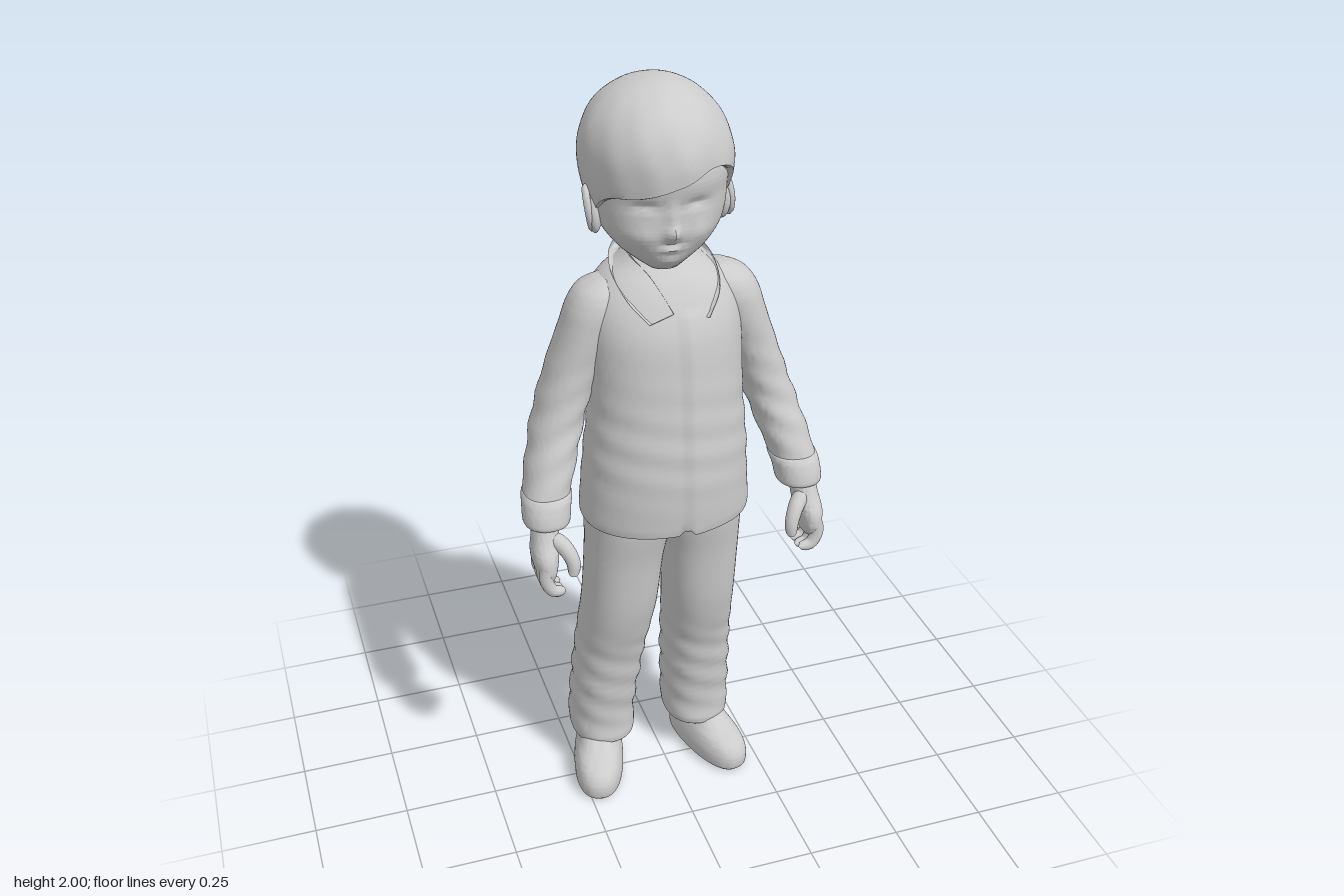
import * as THREE from 'three';
import { toCreasedNormals } from 'three/addons/utils/BufferGeometryUtils.js';

const material = new THREE.MeshStandardMaterial({ color: 0xcccccc, roughness: 0.8 });

function add(parent, name, geo) {
  const mesh = new THREE.Mesh(geo, material);
  mesh.name = name;
  parent.add(mesh);
  return mesh;
}

// Surface closed around u; fn(u, j) gives the point of row j at turn u (0..1)
function grid(fn, seg, rows, crease = 0.9) {
  const pos = [], idx = [];
  for (let j = 0; j < rows; j++) for (let i = 0; i < seg; i++) pos.push(...fn(i / seg, j));
  for (let j = 0; j < rows - 1; j++) for (let i = 0; i < seg; i++) {
    const a = j * seg + i, b = j * seg + (i + 1) % seg;
    idx.push(a, b, b + seg, a, b + seg, a + seg);
  }
  const geo = new THREE.BufferGeometry();
  geo.setAttribute('position', new THREE.Float32BufferAttribute(pos, 3));
  geo.setIndex(idx);
  return toCreasedNormals(geo, crease);
}

const spow = (v, e) => Math.sign(v) * Math.abs(v) ** e;
const gauss = (d, s) => Math.exp(-((d / s) ** 2));

// Capped loft through horizontal sections [y, xMin, xMax, zBack, zFront]
function loft(sections, { n = 2.2, seg = 48, sub = 6, warp = null } = {}) {
  const spline = new THREE.CubicInterpolant(sections.map((_, i) => i), sections.flat(), 5);
  const count = (sections.length - 1) * sub + 1;
  const rows = Array.from({ length: count }, (_, i) => [...spline.evaluate(i / sub)]);
  return grid((u, j) => {
    const [y, x0, x1, z0, z1] = rows[Math.min(Math.max(j - 1, 0), count - 1)];
    const k = j === 0 || j === count + 1 ? 0 : 0.5;
    const a = u * Math.PI * 2;
    const p = [
      (x0 + x1) / 2 + (x1 - x0) * k * spow(Math.sin(a), 2 / n), y,
      (z0 + z1) / 2 + (z1 - z0) * k * spow(Math.cos(a), 2 / n)];
    if (warp && k) warp(p, a);
    return p;
  }, seg, count + 2);
}

// Tapered tube with rounded ends
function digit(points, r0, r1) {
  const curve = new THREE.CatmullRomCurve3(points.map(p => new THREE.Vector3(...p)));
  const steps = 20, sides = 12;
  const geo = new THREE.TubeGeometry(curve, steps, 1, sides);
  const pos = geo.attributes.position, v = new THREE.Vector3();
  for (let i = 0; i < pos.count; i++) {
    const t = Math.floor(i / (sides + 1)) / steps, c = curve.getPointAt(t);
    const r = (r0 + (r1 - r0) * t) * Math.sqrt(Math.max(0, 1 - Math.abs(2 * t - 1) ** 6));
    v.fromBufferAttribute(pos, i).sub(c).multiplyScalar(r).add(c);
    pos.setXYZ(i, v.x, v.y, v.z);
  }
  return geo;
}

function ball(parent, name, p, s) {
  const mesh = add(parent, name, new THREE.SphereGeometry(1, 28, 20));
  mesh.position.set(...p);
  mesh.scale.set(...s);
  return mesh;
}

// Soft cloth folds, strongest near height y0
const folds = (y0, amp) => (p, a) => {
  const f = amp * gauss(p[1] - y0, 0.14) * Math.sin(p[1] * 75 + 2 * Math.sin(a) + a);
  p[0] += f * Math.sin(a);
  p[2] += f * Math.cos(a);
};

function buildHead() {
  const head = new THREE.Group();
  head.name = 'head';
  const fx = -0.03;
  // Facial relief: x, y, depth, width, height
  const relief = [
    [fx, 1.675, 0.024, 0.017, 0.018], [fx, 1.71, 0.009, 0.013, 0.03],
    [fx, 1.633, 0.008, 0.026, 0.007], [fx, 1.645, -0.005, 0.03, 0.005], [fx, 1.597, 0.008, 0.03, 0.016]];
  for (const s of [-1, 1]) relief.push(
    [fx + s * 0.06, 1.735, -0.014, 0.032, 0.016], [fx + s * 0.06, 1.727, 0.008, 0.024, 0.009],
    [fx + s * 0.07, 1.665, 0.008, 0.035, 0.03]);
  add(head, 'face', loft([
    [1.565, -0.06, 0.015, 0.02, 0.095], [1.59, -0.095, 0.045, -0.04, 0.122], [1.62, -0.13, 0.085, -0.08, 0.14],
    [1.66, -0.16, 0.12, -0.11, 0.15], [1.7, -0.175, 0.138, -0.14, 0.153], [1.75, -0.183, 0.145, -0.165, 0.157],
    [1.8, -0.183, 0.145, -0.175, 0.163], [1.87, -0.16, 0.12, -0.15, 0.145], [1.93, -0.1, 0.06, -0.08, 0.08],
  ], { n: 2.15, seg: 112, sub: 9, warp: p => {
    if (p[2] > 0.04) for (const [x, y, d, w, h] of relief) p[2] += d * gauss(p[0] - x, w) * gauss(p[1] - y, h);
  } }));

  // Hair cap whose lower rim follows fringe, sideburns and nape (every 30 degrees from the front)
  const rim = [1.8, 1.83, 1.79, 1.68, 1.64, 1.62, 1.62, 1.62, 1.64, 1.68, 1.755, 1.772, 1.8];
  const edge = new THREE.CubicInterpolant(rim.map((_, i) => i), rim, 1);
  const rows = 34;
  add(head, 'hair', grid((u, j) => {
    const a = u * Math.PI * 2, low = edge.evaluate(u * 12)[0];
    const drop = (low - 1.82) / (low < 1.82 ? 0.25 : 0.18);
    const t = Math.max(0, j - 2) / (rows - 3);
    const phi = Math.acos(drop) * (1 - t);
    const c = Math.cos(phi);
    const tuck = [0.8, 0.95, 1][Math.min(j, 2)];
    const wave = 1 + 0.009 * Math.sin(phi) * (Math.sin(a * 7 + phi * 5) + 0.6 * Math.sin(a * 13 - phi * 4));
    const r = Math.sin(phi) * tuck * wave;
    return [-0.02 + 0.18 * r * Math.sin(a) - 0.012 * Math.sin(phi) * Math.max(0, c),
      1.82 + c * (c < 0 ? 0.25 : 0.18) + (j === 1 ? -0.004 : 0), -0.003 + 0.202 * r * Math.cos(a)];
  }, 96, rows, 1));

  for (const s of [-1, 1]) {
    const ear = ball(head, 'ear', [-0.02 + s * 0.155, 1.7, 0.012], [0.018, 0.055, 0.034]);
    ear.rotation.set(-0.15, s * 0.3, 0);
    const earRim = add(head, 'earRim', new THREE.TorusGeometry(0.036, 0.009, 10, 28));
    earRim.position.set(-0.02 + s * 0.167, 1.705, 0.01);
    earRim.rotation.set(-0.15, Math.PI / 2 + s * 0.3, 0, 'YXZ');
    earRim.scale.set(0.75, 1.3, 1);
  }
  add(head, 'neck', loft([
    [1.44, -0.09, 0.07, -0.1, 0.085], [1.54, -0.085, 0.065, -0.095, 0.07],
    [1.6, -0.085, 0.065, -0.09, 0.06], [1.66, -0.09, 0.07, -0.09, 0.06]]));
  return head;
}

function buildJacket() {
  const jacket = new THREE.Group();
  jacket.name = 'jacket';
  add(jacket, 'jacketBody', loft([
    [0.878, -0.22, 0.2, -0.145, 0.19], [0.89, -0.23, 0.21, -0.152, 0.197], [1.0, -0.222, 0.203, -0.15, 0.202],
    [1.1, -0.213, 0.197, -0.138, 0.197], [1.2, -0.203, 0.188, -0.13, 0.187], [1.3, -0.203, 0.187, -0.14, 0.177],
    [1.4, -0.205, 0.185, -0.15, 0.163], [1.47, -0.195, 0.175, -0.145, 0.135], [1.52, -0.16, 0.14, -0.132, 0.105],
    [1.555, -0.112, 0.092, -0.112, 0.072], [1.58, -0.085, 0.065, -0.09, 0.045],
  ], { seg: 120, warp: (p, a) => {
    folds(1.12, 0.002)(p, a);
    // Overlapping front opening with a small notch at the hem
    if (p[2] > 0.08 && p[1] < 1.47) {
      const x = p[0] + 0.002;
      if (x > 0) p[2] += 0.007 * gauss(x, 0.06);
      if (p[1] < 0.9) p[1] += 0.025 * gauss(x, 0.009);
    }
  } }));

  // Turned-down collar: elliptical section between an upper and a lower edge
  const half = (pts) => new THREE.CatmullRomCurve3([...pts, ...pts.slice(0, -1).reverse().map(([x, y, z]) => [-x, y, z])]
    .map(p => new THREE.Vector3(p[0] - 0.01, p[1], p[2])));
  const upper = half([[0.012, 1.468, 0.14], [0.05, 1.54, 0.085], [0.083, 1.583, 0], [0.06, 1.6, -0.075], [0, 1.605, -0.098]]);
  const lower = half([[0.075, 1.45, 0.147], [0.115, 1.497, 0.1], [0.125, 1.543, 0], [0.088, 1.555, -0.092], [0, 1.56, -0.126]]);
  const steps = 60;
  add(jacket, 'collar', grid((u, j) => {
    const t = Math.min(Math.max(j - 1, 0), steps) / steps, a = u * Math.PI * 2;
    const top = upper.getPoint(t), low = lower.getPoint(t);
    const out = new THREE.Vector3(top.x + low.x + 0.02, 0.12, top.z + low.z).normalize();
    const k = j === 0 || j === steps + 2 ? 0 : 1;
    return low.clone().add(top).multiplyScalar(0.5)
      .addScaledVector(low.sub(top), 0.5 * k * Math.cos(a))
      .addScaledVector(out, 0.014 * k * Math.sin(a)).toArray();
  }, 20, steps + 3, 1.1));
  return jacket;
}

// One arm on the +x side, mirrored for the other by negating x and the winding
function buildArm() {
  const arm = new THREE.Group();
  add(arm, 'sleeve', loft([
    [0.955, 0.288, 0.39, 0.035, 0.145], [1.0, 0.267, 0.385, -0.005, 0.128], [1.08, 0.24, 0.365, -0.045, 0.105],
    [1.18, 0.207, 0.335, -0.085, 0.078], [1.3, 0.165, 0.295, -0.095, 0.07], [1.4, 0.12, 0.26, -0.092, 0.076],
    [1.46, 0.085, 0.24, -0.088, 0.076], [1.5, 0.08, 0.213, -0.075, 0.06], [1.523, 0.1, 0.17, -0.045, 0.025],
  ], { warp: folds(1.15, 0.003) }));
  add(arm, 'cuff', loft([
    [0.928, 0.285, 0.386, 0.035, 0.146], [0.935, 0.277, 0.394, 0.028, 0.154],
    [0.97, 0.271, 0.393, 0.015, 0.147], [0.998, 0.264, 0.388, -0.006, 0.134], [1.004, 0.275, 0.376, 0.005, 0.12],
  ], { sub: 4 }));
  const hand = new THREE.Group();
  hand.name = 'hand';
  arm.add(hand);
  add(hand, 'palm', loft([
    [0.795, 0.333, 0.368, 0.075, 0.175], [0.82, 0.325, 0.38, 0.066, 0.188], [0.86, 0.318, 0.386, 0.065, 0.183],
    [0.9, 0.312, 0.38, 0.065, 0.158], [0.95, 0.308, 0.372, 0.06, 0.135]]));
  // Fingers curling inward, longest in the middle
  [0, 0.008, 0.006, -0.006].forEach((len, i) => {
    const z = 0.17 - i * 0.028;
    add(hand, 'finger', digit([[0.358, 0.845, z], [0.36, 0.8, z + 0.003], [0.345, 0.772 - len, z + 0.004],
      [0.312, 0.765 - len, z + 0.002]], 0.02, 0.014));
  });
  add(hand, 'thumb', digit([[0.335, 0.905, 0.13], [0.305, 0.878, 0.158], [0.29, 0.84, 0.172], [0.292, 0.8, 0.172]], 0.024, 0.015));
  return arm;
}

function mirrored(group) {
  group.traverse(o => {
    if (!o.isMesh) return;
    const g = o.geometry.index ? o.geometry.toNonIndexed() : o.geometry;
    g.scale(-1, 1, 1);
    for (const { array: a } of [g.attributes.position, g.attributes.normal]) {
      for (let i = 0; i < a.length; i += 9) for (let k = 0; k < 3; k++) [a[i + 3 + k], a[i + 6 + k]] = [a[i + 6 + k], a[i + 3 + k]];
    }
    o.geometry = g;
  });
  return group;
}

function buildLeg(name, xs, footX, toeOut) {
  const leg = new THREE.Group();
  leg.name = name;
  const heights = [0.105, 0.115, 0.2, 0.4, 0.5, 0.6, 0.75, 0.85, 0.93];
  const depth = [[-0.175, 0.012], [-0.187, 0.024], [-0.188, 0.022], [-0.167, 0.05], [-0.148, 0.077],
    [-0.125, 0.1], [-0.108, 0.118], [-0.118, 0.135], [-0.12, 0.14]];
  add(leg, 'trouserLeg', loft(heights.map((y, i) => [y, ...xs[i], ...depth[i]]), { n: 2.3, sub: 10, warp: folds(0.3, 0.004) }));
  const shoe = add(leg, 'shoe', loft([
    [0, -0.06, 0.06, -0.147, 0.15], [0.012, -0.068, 0.068, -0.155, 0.158], [0.045, -0.069, 0.069, -0.153, 0.157],
    [0.075, -0.062, 0.062, -0.147, 0.135], [0.1, -0.053, 0.053, -0.137, 0.075], [0.14, -0.046, 0.046, -0.125, 0.01],
  ], { n: 2.4 }));
  shoe.position.set(footX, 0, -0.024);
  shoe.rotation.y = toeOut;
  return leg;
}

export function createModel() {
  const model = new THREE.Group();
  model.name = 'standingChild';
  model.add(buildHead(), buildJacket());
  const leftArm = buildArm(), rightArm = mirrored(buildArm());
  leftArm.name = 'leftArm';
  rightArm.name = 'rightArm';
  rightArm.position.x = -0.004;
  model.add(leftArm, rightArm);
  model.add(buildLeg('leftLeg', [[0.035, 0.195], [0.025, 0.205], [0.022, 0.207], [0.015, 0.2], [0.01, 0.195],
    [0.003, 0.193], [-0.008, 0.195], [-0.03, 0.197], [-0.04, 0.197]], 0.138, 0.27));
  model.add(buildLeg('rightLeg', [[-0.243, -0.085], [-0.252, -0.075], [-0.25, -0.073], [-0.235, -0.05], [-0.228, -0.037],
    [-0.222, -0.025], [-0.217, -0.012], [-0.215, 0.01], [-0.215, 0.02]], -0.19, -0.27));
  return model;
}
